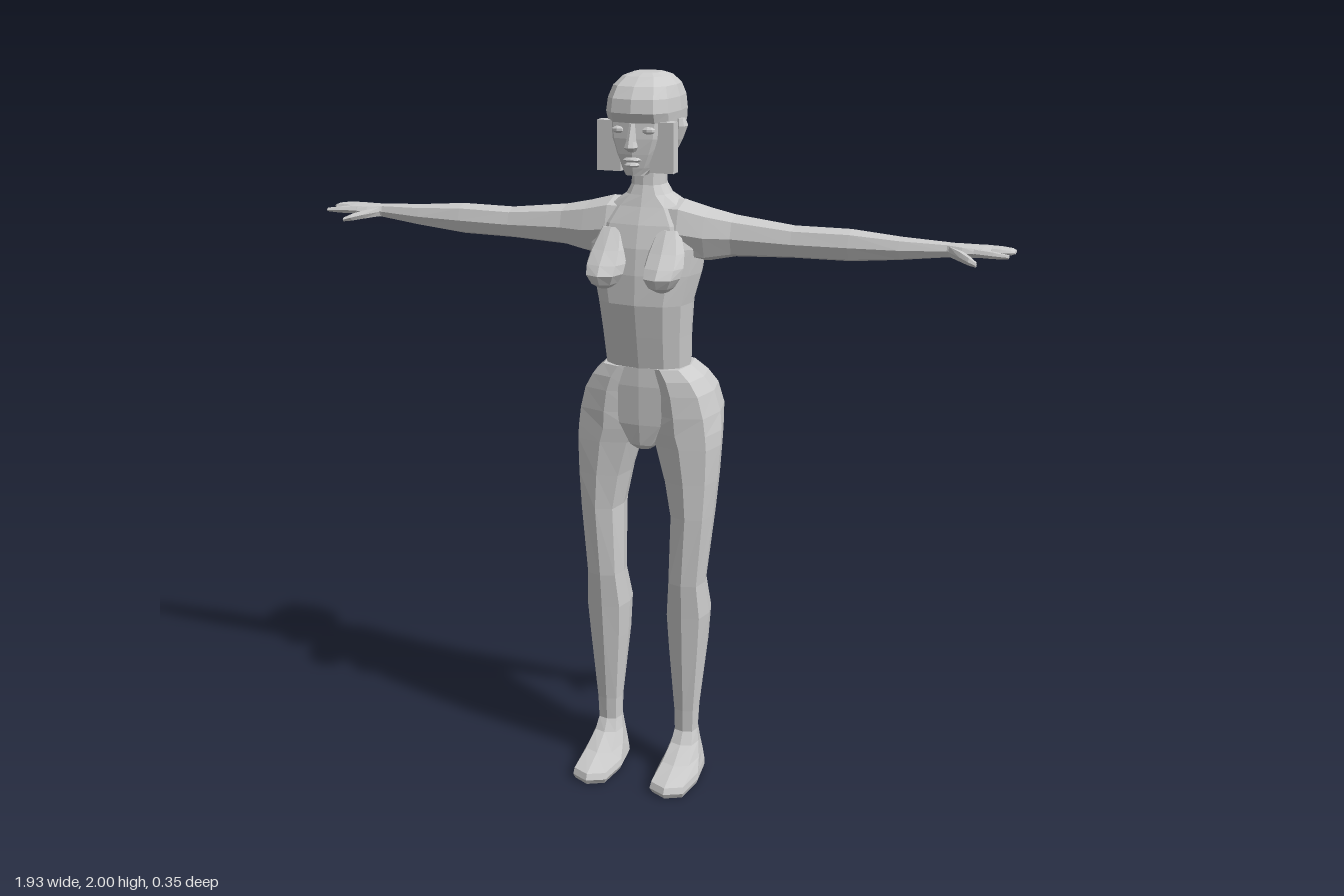
import * as THREE from 'three';

const grey = new THREE.MeshStandardMaterial({ color: 0xcccccc, flatShading: true });
grey.name = 'mannequin grey';

// Skin squarish rings. Rows run upward: [y, x0, x1, z0, z1],
// or, with along = 'x', outward: [x, y0, y1, z0, z1]. side = -1 mirrors in x.
function loft(rows, { n = 8, p = 0.78, along = 'y', side = 1 } = {}) {
  const pos = [], index = [];
  const soft = v => (Math.abs(v) < 1e-6 ? 0 : Math.sign(v) * Math.pow(Math.abs(v), p));
  const tri = (a, b, c) => (side > 0 ? index.push(a, b, c) : index.push(a, c, b));
  const put = (s, u, w) => (along === 'y' ? pos.push(side * u, s, w) : pos.push(side * s, u, w));
  for (const [s, u0, u1, w0, w1] of rows) {
    for (let j = 0; j < n; j++) {
      const t = (j / n) * Math.PI * 2;
      const c = soft(Math.cos(t)), d = soft(Math.sin(t));
      const [a, b] = along === 'y' ? [c, d] : [d, c];
      put(s, (u0 + u1) / 2 + a * (u1 - u0) / 2, (w0 + w1) / 2 + b * (w1 - w0) / 2);
    }
  }
  for (let i = 0; i < rows.length - 1; i++) {
    for (let j = 0; j < n; j++) {
      const k = (j + 1) % n, a = i * n + j, b = i * n + k;
      tri(a, a + n, b);
      tri(b, a + n, b + n);
    }
  }
  // end caps
  const top = (rows.length - 1) * n;
  for (let j = 1; j < n - 1; j++) {
    tri(0, j, j + 1);
    tri(top, top + j + 1, top + j);
  }
  const g = new THREE.BufferGeometry();
  g.setAttribute('position', new THREE.Float32BufferAttribute(pos, 3));
  g.setIndex(index);
  const flat = g.toNonIndexed();
  flat.computeVertexNormals();
  return flat;
}

const sym = rows => rows.map(([y, x, z0, z1]) => [y, -x, x, z0, z1]);

export function createModel() {
  const model = new THREE.Group();
  model.name = 'mannequin';
  const add = (name, geometry, x = 0, y = 0, z = 0) => {
    const m = new THREE.Mesh(geometry, grey);
    m.name = name;
    m.position.set(x, y, z);
    model.add(m);
  };

  // Torso and neck
  add('torso', loft(sym([
    [1.2, 0.112, -0.11, 0.052], [1.22, 0.117, -0.115, 0.055], [1.31, 0.122, -0.107, 0.072],
    [1.4, 0.13, -0.105, 0.088], [1.48, 0.15, -0.125, 0.085], [1.55, 0.16, -0.13, 0.075],
    [1.61, 0.145, -0.13, 0.058], [1.655, 0.105, -0.112, 0.038], [1.685, 0.06, -0.088, 0.028],
    [1.71, 0.045, -0.08, 0.02], [1.8, 0.043, -0.075, 0.015],
  ]), { n: 12 }));

  // Pelvis between the legs
  add('pelvis', loft(sym([
    [0.985, 0.022, -0.05, 0.03], [1.0, 0.045, -0.09, 0.046], [1.06, 0.09, -0.1, 0.054],
    [1.17, 0.12, -0.12, 0.058], [1.222, 0.115, -0.112, 0.055],
  ]), { n: 12, p: 0.6 }));

  // Head with chin and skull
  add('head', loft(sym([
    [1.745, 0.028, 0.03, 0.093], [1.765, 0.046, -0.06, 0.098], [1.8, 0.067, -0.105, 0.102],
    [1.84, 0.086, -0.125, 0.103], [1.88, 0.092, -0.135, 0.1], [1.905, 0.094, -0.136, 0.113],
    [1.94, 0.09, -0.133, 0.107], [1.97, 0.08, -0.115, 0.085], [1.992, 0.06, -0.085, 0.05],
    [2.0, 0.038, -0.06, 0.02],
  ]), { n: 12, p: 0.7 }));
  add('nose', loft(sym([
    [1.808, 0.01, 0.08, 0.112], [1.82, 0.017, 0.08, 0.131], [1.835, 0.012, 0.08, 0.125],
    [1.88, 0.008, 0.08, 0.106],
  ])));
  for (const [name, y, w] of [['upperLip', 1.787, 0.026], ['lowerLip', 1.774, 0.022]]) {
    add(name, new THREE.SphereGeometry(1, 8, 4).scale(w, 0.007, 0.015), 0, y, 0.099);
  }

  for (const side of [1, -1]) {
    const label = side > 0 ? 'left' : 'right';
    const part = (name, rows, options = {}) => add(label + name, loft(rows, { side, ...options }));

    // Face details
    add(label + 'Eye', new THREE.SphereGeometry(1, 8, 5).scale(0.019, 0.01, 0.014), side * 0.041, 1.862, 0.09);
    part('Ear', [
      [1.81, 0.07, 0.09, -0.012, 0.008], [1.832, 0.075, 0.1, -0.022, 0.012],
      [1.866, 0.08, 0.112, -0.03, 0.013], [1.885, 0.08, 0.106, -0.022, 0.006],
    ]);
    add(label + 'CheekBlock', new THREE.BoxGeometry(0.065, 0.13, 0.035), side * 0.0725, 1.818, 0.0625);

    // Bust
    part('Breast', [
      [1.446, 0.066, 0.096, 0.06, 0.112], [1.46, 0.045, 0.114, 0.045, 0.138],
      [1.485, 0.03, 0.13, 0.035, 0.15], [1.51, 0.027, 0.135, 0.03, 0.132],
      [1.545, 0.03, 0.13, 0.02, 0.1], [1.6, 0.045, 0.11, 0.01, 0.056],
    ], { p: 0.85 });

    // Shoulder, arm and palm
    part('Arm', [
      [0.05, 1.52, 1.67, -0.11, 0.04], [0.1, 1.51, 1.672, -0.115, 0.048],
      [0.17, 1.512, 1.653, -0.11, 0.038], [0.24, 1.527, 1.638, -0.097, 0.022],
      [0.4, 1.535, 1.62, -0.083, 0.012], [0.55, 1.537, 1.621, -0.078, 0.01],
      [0.68, 1.55, 1.61, -0.069, 0.002], [0.8, 1.565, 1.604, -0.06, -0.01],
      [0.84, 1.568, 1.602, -0.073, 0.005], [0.89, 1.573, 1.6, -0.08, 0.008],
      [0.91, 1.577, 1.598, -0.08, 0],
    ], { along: 'x' });
    part('Fingers', [
      [0.88, 1.577, 1.599, -0.08, -0.022], [0.93, 1.577, 1.597, -0.081, -0.025],
      [0.955, 1.579, 1.594, -0.079, -0.03], [0.965, 1.582, 1.59, -0.073, -0.04],
    ], { along: 'x', p: 0.65 });
    part('IndexFinger', [
      [0.87, 1.576, 1.598, -0.02, 0.008], [0.92, 1.577, 1.595, -0.008, 0.016],
      [0.958, 1.58, 1.59, 0.002, 0.018],
    ], { along: 'x', n: 6 });
    part('Thumb', [
      [0.805, 1.57, 1.598, -0.03, -0.008], [0.84, 1.566, 1.592, -0.01, 0.028],
      [0.865, 1.563, 1.584, 0.016, 0.05], [0.885, 1.562, 1.574, 0.038, 0.058],
    ], { along: 'x', n: 6 });

    // Leg with hip and buttock
    part('Leg', [
      [0.12, 0.085, 0.15, -0.055, 0.01], [0.2, 0.083, 0.153, -0.062, 0.013],
      [0.4, 0.066, 0.172, -0.097, 0.03], [0.5, 0.06, 0.18, -0.1, 0.038],
      [0.6, 0.07, 0.172, -0.07, 0.047], [0.8, 0.075, 0.19, -0.1, 0.052],
      [0.9, 0.055, 0.199, -0.115, 0.053], [1.0, 0.025, 0.205, -0.132, 0.055],
      [1.04, 0.004, 0.204, -0.15, 0.057], [1.09, 0.004, 0.197, -0.175, 0.06],
      [1.15, 0.004, 0.18, -0.165, 0.061], [1.19, 0.004, 0.155, -0.14, 0.061],
      [1.222, 0, 0.12, -0.117, 0.057],
    ], { p: 0.65 });

    // Foot
    part('Foot', [
      [0, 0.062, 0.175, -0.066, 0.168], [0.015, 0.055, 0.18, -0.07, 0.176],
      [0.032, 0.058, 0.178, -0.07, 0.168], [0.062, 0.068, 0.168, -0.068, 0.09],
      [0.1, 0.078, 0.157, -0.062, 0.032], [0.135, 0.084, 0.151, -0.056, 0.01],
    ], { p: 0.65 });
  }
  return model;
}
